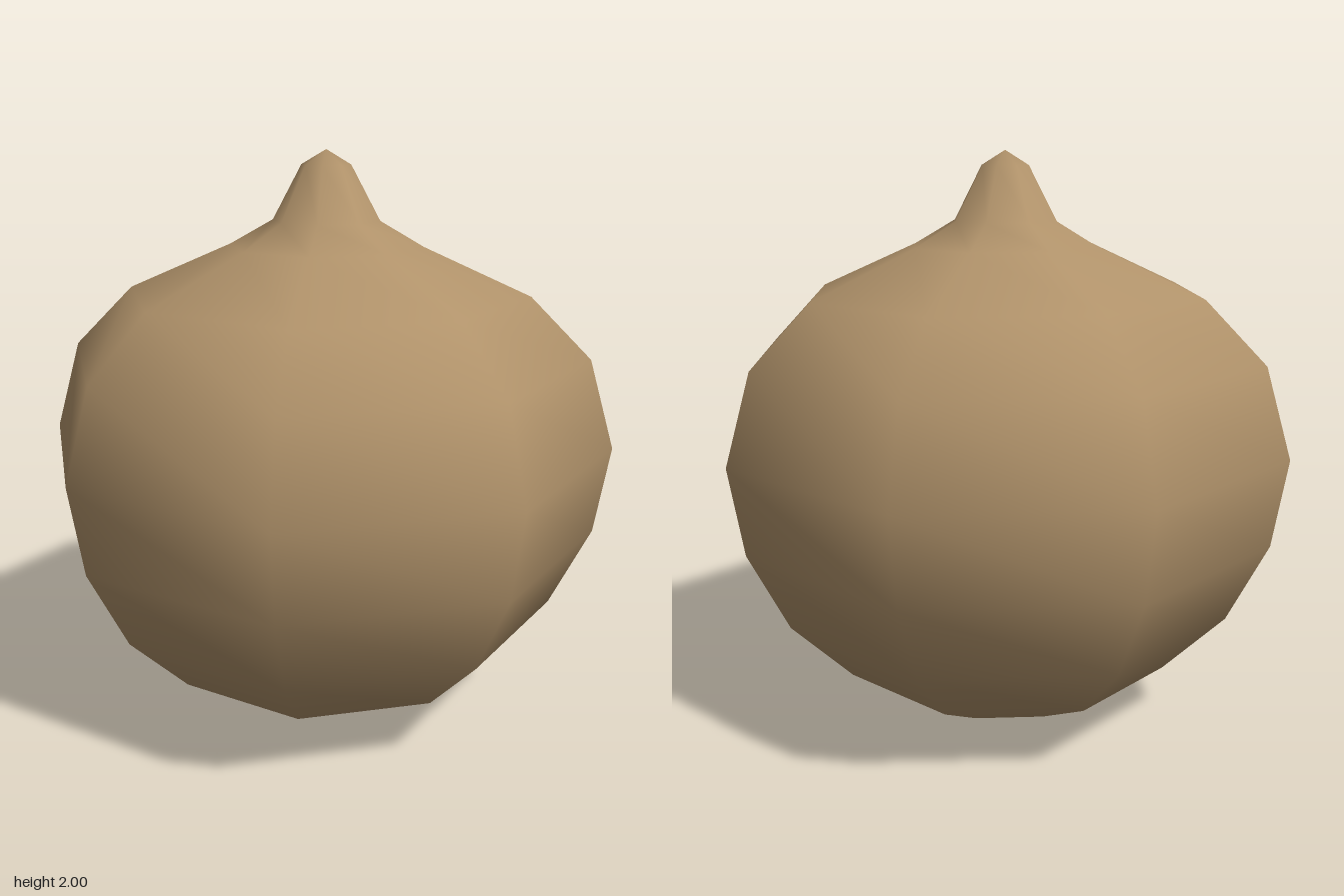
import * as THREE from 'three';

export function createModel() {
  const group = new THREE.Group();
  group.name = 'bulb';

  // Outline from the bottom point up to the nub: [radius, height]
  const outline = [
    [0, 0], [0.31, 0.05], [0.595, 0.2], [0.81, 0.415], [0.95, 0.695], [1, 1],
    [0.91, 1.31], [0.7, 1.52], [0.335, 1.68], [0.185, 1.765], [0.085, 1.95], [0, 2],
  ].map(([r, y]) => new THREE.Vector2(r, y));

  // Eight-sided body with smooth shading
  const geometry = new THREE.LatheGeometry(outline, 8);

  // Normals at the two poles point straight down and up
  const { position, normal } = geometry.attributes;
  for (let i = 0; i < position.count; i++) {
    if (Math.hypot(position.getX(i), position.getZ(i)) < 1e-4) {
      normal.setXYZ(i, 0, position.getY(i) < 1 ? -1 : 1, 0);
    }
  }

  const body = new THREE.Mesh(geometry, new THREE.MeshStandardMaterial({ color: 0xb0926a }));
  body.name = 'body';
  group.add(body);
  return group;
}
